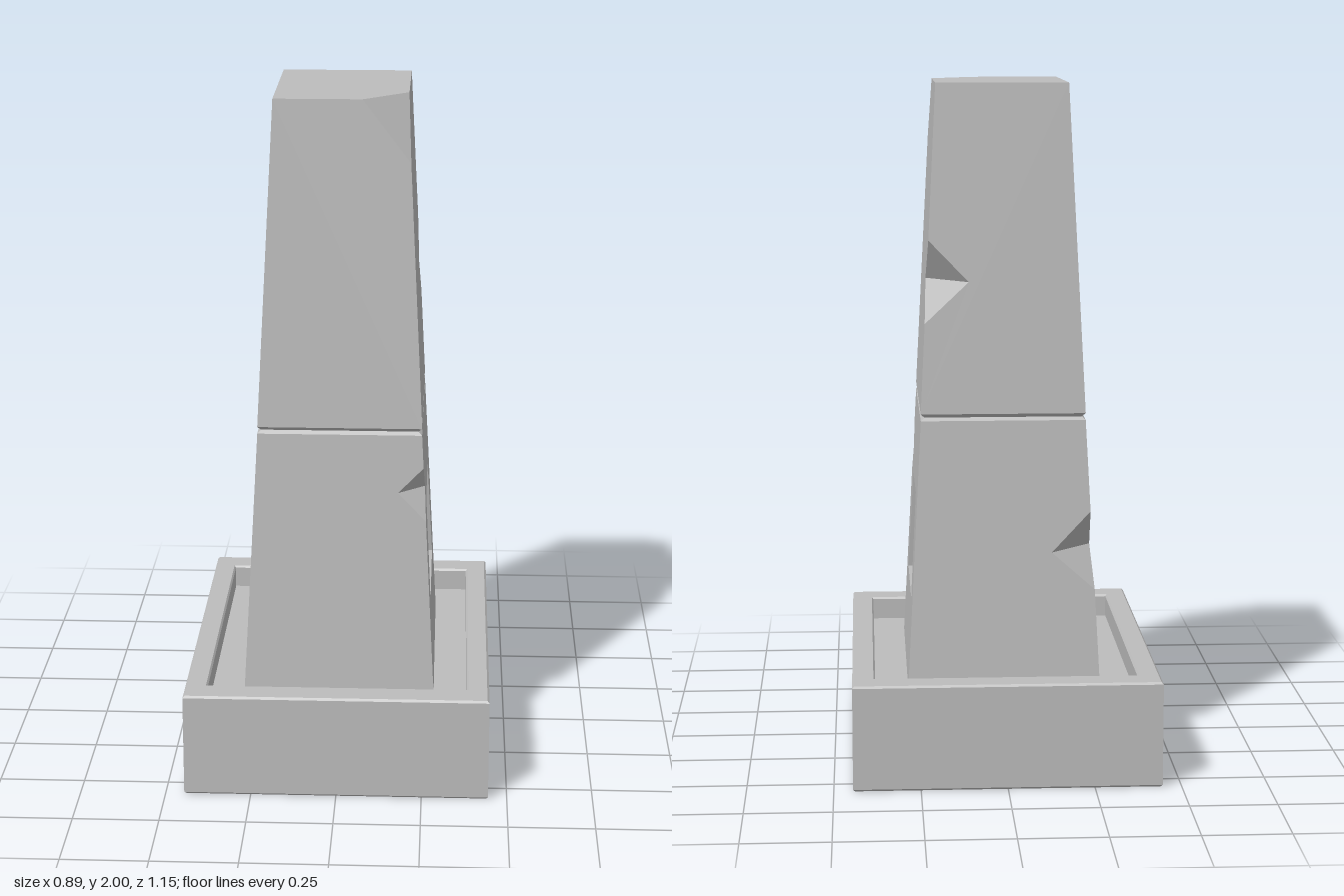
import * as THREE from 'three';

const V = (x, y, z) => new THREE.Vector3(x, y, z);

// Collects planar polygons, each turned to face along its outward hint
class Faces {
  constructor() { this.pos = []; }
  tri(a, b, c) { for (const p of [a, b, c]) this.pos.push(p.x, p.y, p.z); }
  poly(points, hint, hole = []) {
    const ax = Math.abs(hint.x), ay = Math.abs(hint.y), az = Math.abs(hint.z);
    const flat = (p) => ax >= ay && ax >= az ? new THREE.Vector2(p.z, p.y)
      : ay >= az ? new THREE.Vector2(p.x, p.z) : new THREE.Vector2(p.x, p.y);
    const all = points.concat(hole);
    const tris = THREE.ShapeUtils.triangulateShape(points.map(flat), hole.length ? [hole.map(flat)] : []);
    for (const [i, j, k] of tris) {
      const a = all[i], b = all[j], c = all[k];
      const n = b.clone().sub(a).cross(c.clone().sub(a));
      if (n.dot(hint) >= 0) this.tri(a, b, c); else this.tri(a, c, b);
    }
  }
  // Rectangular rings [halfX, halfZ, y] joined in order
  loft(rings) {
    const s = [[1, 1], [1, -1], [-1, -1], [-1, 1]];
    const at = ([hx, hz, y], i) => V(s[i % 4][0] * hx, y, s[i % 4][1] * hz);
    for (let r = 0; r + 1 < rings.length; r++) {
      for (let i = 0; i < 4; i++) {
        const a = at(rings[r], i), b = at(rings[r], i + 1);
        const c = at(rings[r + 1], i + 1), d = at(rings[r + 1], i);
        if (rings[r][0] > 0) this.tri(a, b, c);
        if (rings[r + 1][0] > 0 || rings[r][0] === 0) this.tri(a, c, d);
      }
    }
  }
  mesh(name, material) {
    const g = new THREE.BufferGeometry();
    g.setAttribute('position', new THREE.Float32BufferAttribute(this.pos, 3));
    g.computeVertexNormals();
    const m = new THREE.Mesh(g, material);
    m.name = name;
    return m;
  }
}

// Tapered block with V-shaped chips in its corner edges and an optional opening in x
function taperedBlock(f, { y0, y1, hx, hz, chips, hole }) {
  const corner = (sx, sz, y) => V(sx * hx(y), y, sz * hz(y));
  const chipAt = (sx, sz) => chips.find((c) => c.sx === sx && c.sz === sz);
  const onZ = (c) => V(c.sx * (hx(c.y) - c.a), c.y, c.sz * hz(c.y));
  const onX = (c) => V(c.sx * hx(c.y), c.y, c.sz * (hz(c.y) - c.b));
  // Points up one corner edge, as seen on one of its two faces
  const edge = (sx, sz, on) => {
    const c = chipAt(sx, sz), pts = [corner(sx, sz, y0)];
    if (c) pts.push(corner(sx, sz, c.bottom), on(c));
    if (c && c.top) pts.push(corner(sx, sz, c.top));
    if (!c || c.top) pts.push(corner(sx, sz, y1));
    return pts;
  };
  for (const s of [1, -1]) {
    f.poly([...edge(-1, s, onZ), ...edge(1, s, onZ).reverse()], V(0, 0, s));
    f.poly([...edge(s, -1, onX), ...edge(s, 1, onX).reverse()], V(s, 0, 0),
      hole ? hole.map(([z, y]) => V(s * hx(y), y, z)) : []);
  }
  for (const c of chips) {
    const p = onZ(c), q = onX(c);
    f.poly([p, q, corner(c.sx, c.sz, c.bottom)], V(c.sx, 0, c.sz));
    if (c.top) f.poly([p, q, corner(c.sx, c.sz, c.top)], V(c.sx, 0, c.sz));
  }
  // Top face, trimmed where a chip reaches it
  const top = [];
  for (const [sx, sz] of [[1, 1], [1, -1], [-1, -1], [-1, 1]]) {
    const c = chipAt(sx, sz);
    if (c && !c.top) top.push(onZ(c), onX(c)); else top.push(corner(sx, sz, y1));
  }
  return top;
}

export function createModel() {
  const group = new THREE.Group();
  const stone = new THREE.MeshStandardMaterial({ color: 0xbcbcbc });
  stone.name = 'grey stone';

  // Base slab with a sunken tray
  const base = new Faces();
  base.loft([[0, 0, 0], [0.439, 0.569, 0], [0.445, 0.575, 0.006], [0.445, 0.575, 0.304],
    [0.439, 0.569, 0.31], [0.384, 0.494, 0.31], [0.379, 0.489, 0.304], [0.379, 0.489, 0.24], [0, 0, 0.24]]);
  group.add(base.mesh('base', stone));

  // Lower shaft with the opening
  const hx = (y) => 0.24 + (1.028 - y) * 0.053;
  const hz = (y) => 0.31 + (1.028 - y) * 0.068;
  const zw = (y) => 0.212 - (y - 0.48) * 0.15;
  const sill = 0.48, head = 0.79;
  const lower = new Faces();
  taperedBlock(lower, {
    y0: 0.24, y1: 1.028, hx, hz,
    chips: [
      { sx: 1, sz: 1, y: 0.855, bottom: 0.77, top: 0.93, a: 0.078, b: 0.07 },
      { sx: -1, sz: -1, y: 0.64, bottom: 0.53, top: 0.76, a: 0.12, b: 0.12 },
    ],
    hole: [[-zw(sill), sill], [zw(sill), sill], [zw(head), head], [-zw(head), head]],
  });
  lower.loft([[0.24, 0.31, 1.028], [0.228, 0.298, 1.038], [0, 0, 1.038]]);

  // Lining of the opening: sill, jambs and a lintel that steps down inside
  const section = [[hx(sill), sill], [hx(head), head], [hx(head) - 0.035, 0.775], [hx(head) - 0.07, 0.72]];
  const lining = [...section, ...section.map(([x, y]) => [-x, y]).reverse()];
  for (const s of [1, -1]) {
    lower.poly(lining.map(([x, y]) => V(x, y, s * zw(y))), V(0, 0, -s));
  }
  lining.forEach(([x, y], i) => {
    const [x2, y2] = lining[(i + 1) % lining.length];
    if (i === 0 || i === lining.length - 2) return; // open ends
    lower.poly([V(x, y, -zw(y)), V(x, y, zw(y)), V(x2, y2, zw(y2)), V(x2, y2, -zw(y2))],
      V(0, i === lining.length - 1 ? 1 : -1, 0));
  });
  group.add(lower.mesh('lowerShaft', stone));

  // Upper shaft with a broken top corner
  const upper = new Faces();
  const top = taperedBlock(upper, {
    y0: 1.048, y1: 2,
    hx: (y) => 0.24 - (y - 1.048) * 0.05,
    hz: (y) => 0.31 - (y - 1.048) * 0.068,
    chips: [
      { sx: 1, sz: 1, y: 2, bottom: 1.82, a: 0.13, b: 0.12 },
      { sx: 1, sz: -1, y: 1.43, bottom: 1.31, top: 1.55, a: 0.122, b: 0.12 },
    ],
  });
  upper.poly(top, V(0, 1, 0));
  upper.loft([[0, 0, 1.036], [0.228, 0.298, 1.036], [0.24, 0.31, 1.048]]);
  group.add(upper.mesh('upperShaft', stone));

  return group;
}
